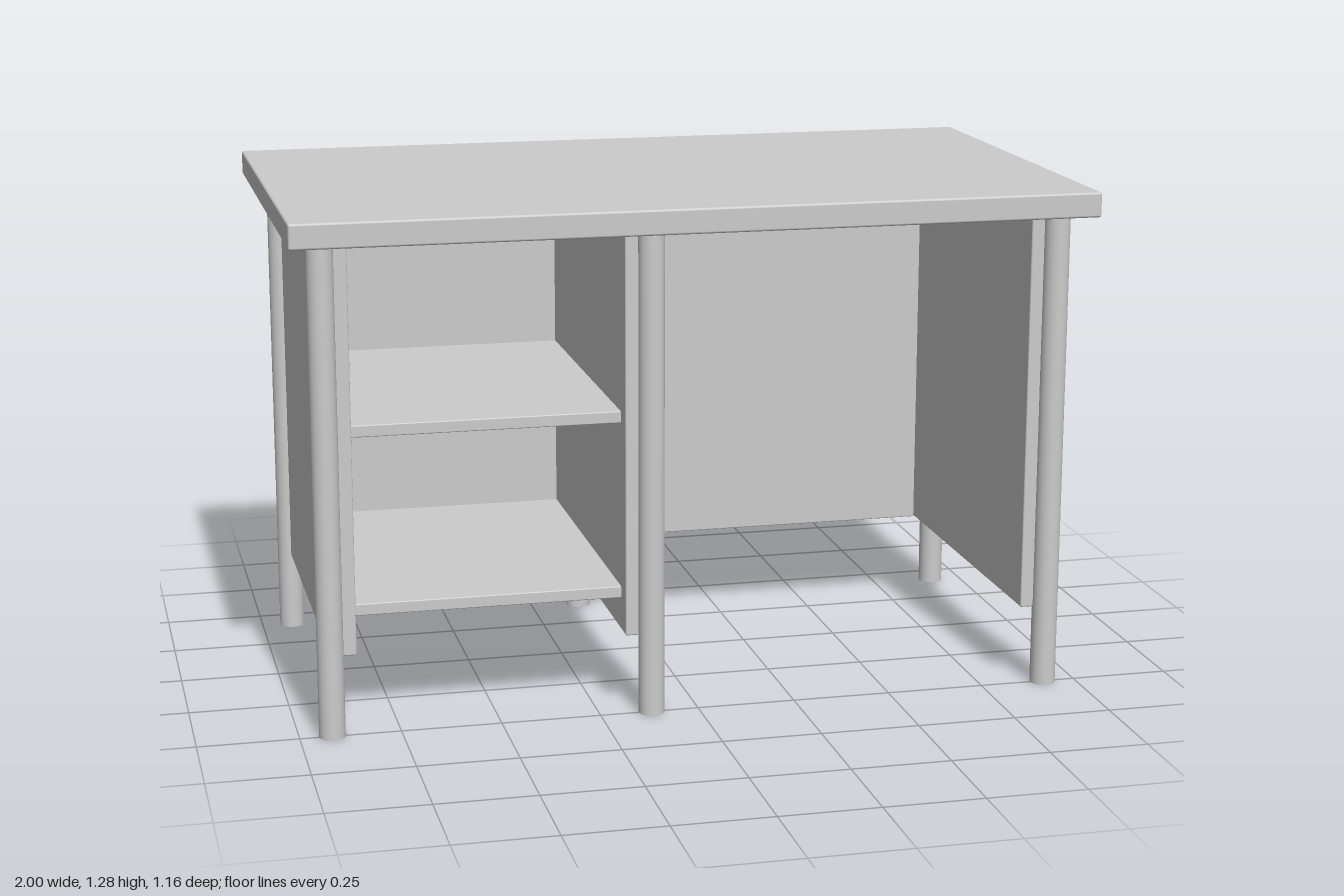
import * as THREE from 'three';
import { RoundedBoxGeometry } from 'three/addons/geometries/RoundedBoxGeometry.js';

export function createModel() {
  const desk = new THREE.Group();
  desk.name = 'desk';
  const material = new THREE.MeshStandardMaterial({ color: 0xcccccc });

  const add = (name, geometry, x, y, z) => {
    const mesh = new THREE.Mesh(geometry, material);
    mesh.name = name;
    mesh.position.set(x, y, z);
    desk.add(mesh);
  };

  // Softly rounded board given by its extents on each axis
  const board = (name, [x0, x1], [y0, y1], [z0, z1], radius) =>
    add(name, new RoundedBoxGeometry(x1 - x0, y1 - y0, z1 - z0, 2, radius),
      (x0 + x1) / 2, (y0 + y1) / 2, (z0 + z1) / 2);

  const topBottom = 1.222, panelBottom = 0.203;
  const legX = { right: -0.92, middle: -0.12, left: 0.915 };
  const legZ = { Front: 0.5, Back: -0.417 };
  const panelY = [panelBottom, topBottom];
  const panelZ = [legZ.Back, legZ.Front];

  // Tabletop
  board('tabletop', [-1, 1], [topBottom, 1.285], [-0.58, 0.58], 0.006);

  // Six round legs
  const legGeometry = new THREE.CylinderGeometry(0.0325, 0.0325, topBottom, 32);
  for (const [side, x] of Object.entries(legX))
    for (const [end, z] of Object.entries(legZ))
      add(`${side}${end}Leg`, legGeometry, x, topBottom / 2, z);

  // Upright panels, running between front and back legs
  board('rightSidePanel', [legX.right, -0.855], panelY, panelZ, 0.004);
  board('dividerPanel', [-0.185, legX.middle], panelY, panelZ, 0.004);
  board('leftSidePanel', [0.85, legX.left], panelY, panelZ, 0.004);

  // Back panel
  board('backPanel', [legX.right, legX.left], [0.2, topBottom], [-0.41, -0.385], 0.003);

  // Shelves in the right-hand compartment
  const shelfX = [-0.86, -0.18];
  board('lowerShelf', shelfX, [0.286, 0.316], [-0.39, 0.447], 0.003);
  board('upperShelf', shelfX, [0.735, 0.765], [-0.39, 0.447], 0.003);

  return desk;
}
